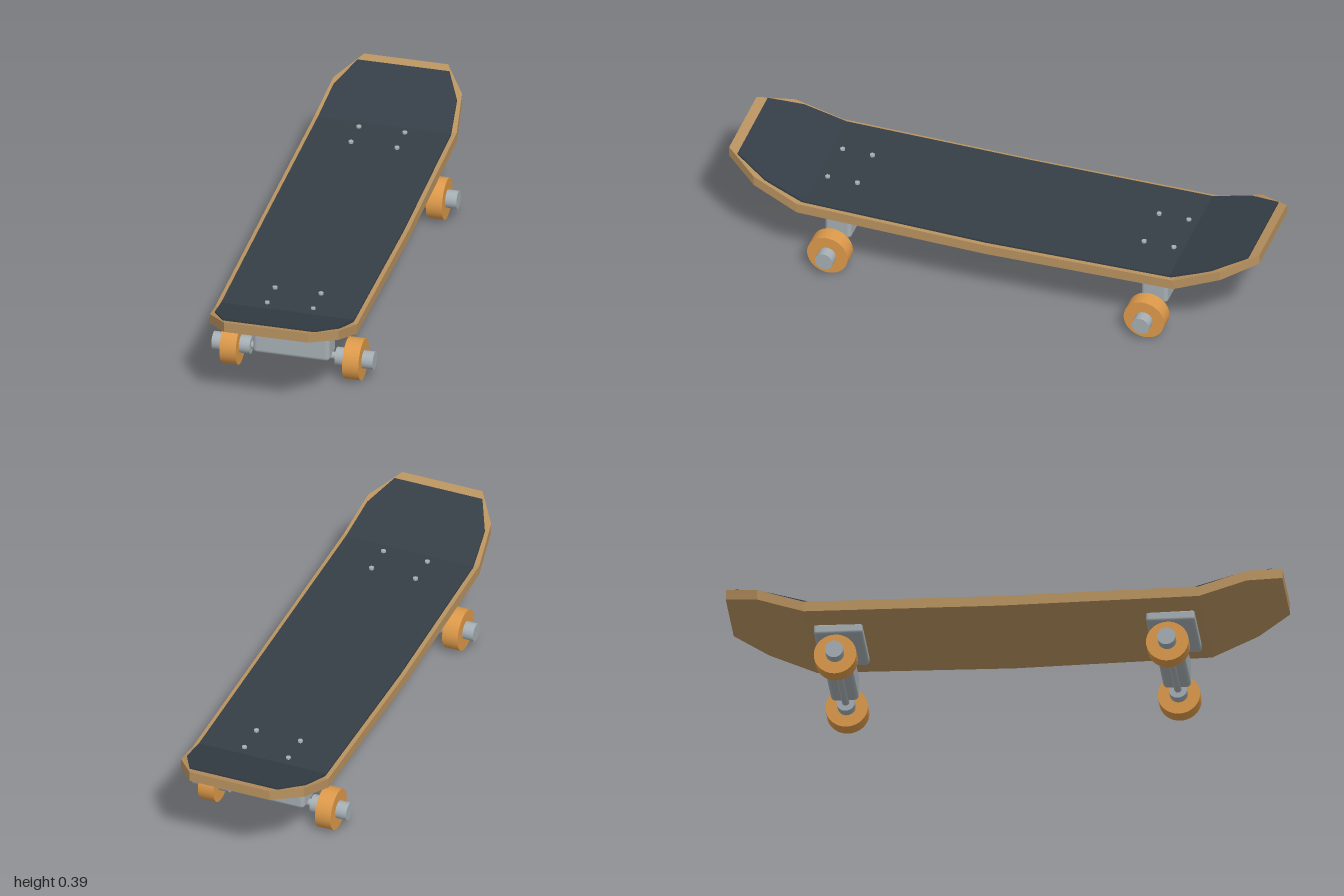
import * as THREE from 'three';
import { RoundedBoxGeometry } from 'three/addons/geometries/RoundedBoxGeometry.js';

function material(name, color, flatShading = false) {
  const m = new THREE.MeshStandardMaterial({ color, flatShading });
  m.name = name;
  return m;
}

// Lofts a slab through stations of [z, half width, top height]
function slab(half, thickness) {
  const stations = [
    ...half.map(([z, w, y]) => [-z, w, y]),
    ...half.slice(0, -1).reverse(),
  ];
  const positions = [];
  const index = [];
  for (const [z, w, y] of stations) {
    const b = y - thickness;
    positions.push(-w, y, z, w, y, z, w, b, z, -w, b, z);
  }
  for (let i = 0; i < stations.length - 1; i++) {
    for (let j = 0; j < 4; j++) {
      const a0 = i * 4 + j, b0 = i * 4 + (j + 1) % 4;
      index.push(a0, a0 + 4, b0 + 4, a0, b0 + 4, b0);
    }
  }
  const e = (stations.length - 1) * 4;
  index.push(0, 1, 2, 0, 2, 3, e, e + 2, e + 1, e, e + 3, e + 2);
  const indexed = new THREE.BufferGeometry();
  indexed.setAttribute('position', new THREE.Float32BufferAttribute(positions, 3));
  indexed.setIndex(index);
  const geometry = indexed.toNonIndexed();
  geometry.computeVertexNormals();
  return geometry;
}

export function createModel() {
  const wood = material('wood', 0xb8925f, true);
  const grip = material('grip tape', 0x353e46, true);
  const metal = material('metal', 0xa5aeb3);
  const urethane = material('wheel orange', 0xdc994a);

  const add = (parent, name, geometry, mat, x = 0, y = 0, z = 0) => {
    const mesh = new THREE.Mesh(geometry, mat);
    mesh.name = name;
    mesh.position.set(x, y, z);
    parent.add(mesh);
    return mesh;
  };
  // Cylinder lying along x
  const rod = (radius, length, sides = 32) =>
    new THREE.CylinderGeometry(radius, radius, length, sides).rotateZ(Math.PI / 2);

  const model = new THREE.Group();
  model.name = 'skateboard';

  // Deck with raised, clipped ends
  add(model, 'deck', slab([
    [1, 0.155, 0.393], [0.88, 0.238, 0.35], [0.71, 0.262, 0.285], [0, 0.267, 0.275],
  ], 0.038), wood);

  // Grip sheet inset from the deck edge
  add(model, 'gripTape', slab([
    [0.963, 0.17, 0.387], [0.845, 0.228, 0.344], [0.69, 0.246, 0.291], [0, 0.251, 0.282],
  ], 0.009), grip);

  // Trucks, wheels and mounting bolts
  for (const [name, z] of [['frontTruck', 0.596], ['backTruck', -0.598]]) {
    const truck = new THREE.Group();
    truck.name = name;
    truck.position.z = z;
    model.add(truck);

    add(truck, 'basePlate', new RoundedBoxGeometry(0.284, 0.04, 0.175, 2, 0.01), metal, 0, 0.232);
    add(truck, 'kingpin', new THREE.CylinderGeometry(0.035, 0.035, 0.06, 24), metal, 0, 0.195);
    add(truck, 'hanger', new RoundedBoxGeometry(0.284, 0.106, 0.1, 3, 0.016), metal, 0, 0.126);
    add(truck, 'axle', rod(0.0135, 0.4, 20), metal, 0, 0.078);

    for (const side of [-1, 1]) {
      add(truck, 'wheel', rod(0.0765, 0.06, 40), urethane, side * 0.2265, 0.0765);
      add(truck, 'hub', rod(0.033, 0.141), metal, side * 0.2275, 0.0775);
      for (const end of [-1, 1]) {
        add(truck, 'bolt', new THREE.CylinderGeometry(0.009, 0.009, 0.03, 12), metal,
          side * 0.085, 0.282, end * 0.056);
      }
    }
  }
  return model;
}
